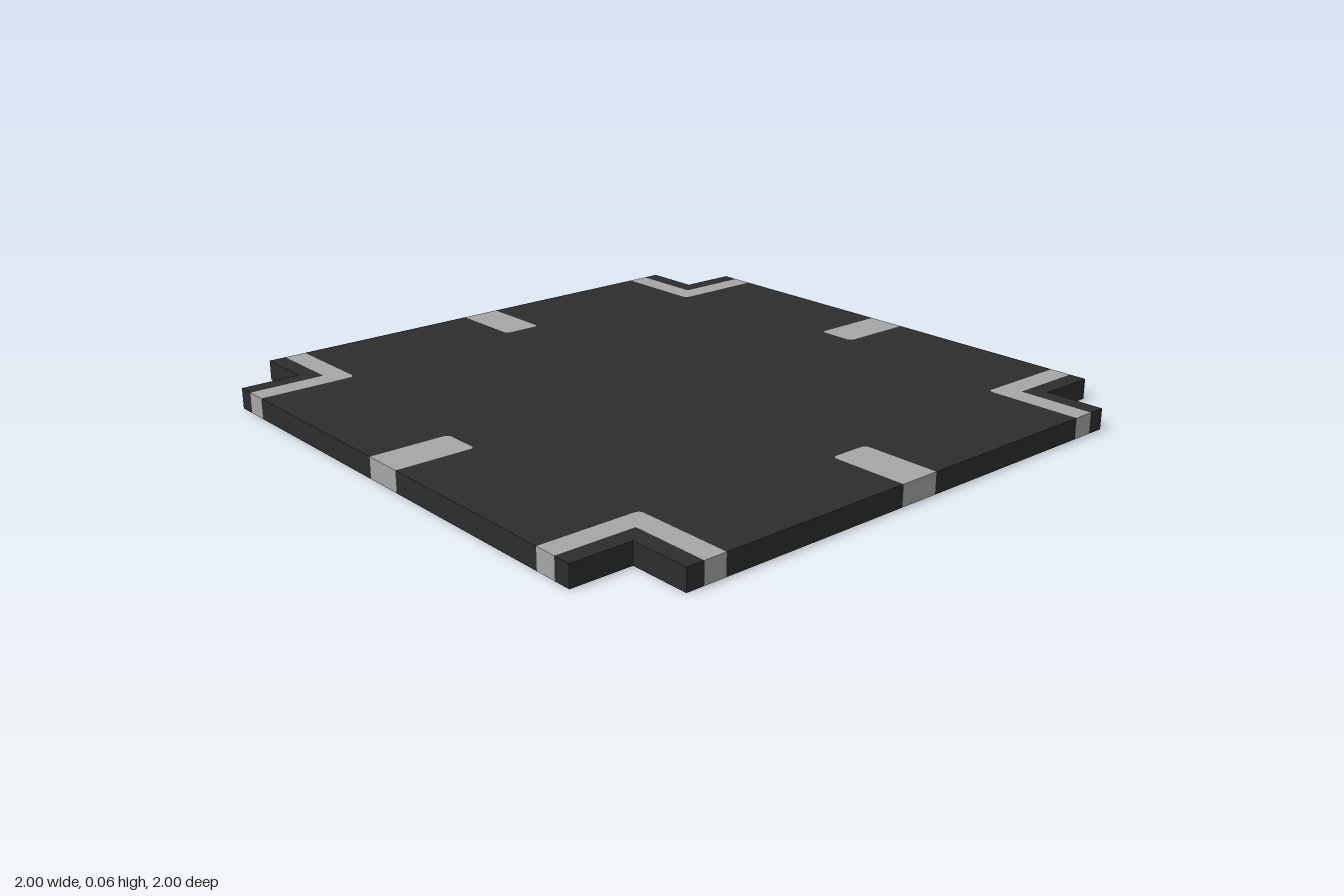
import * as THREE from 'three';

const THICK = 0.065;  // slab thickness
const NOTCH = 0.81;   // corner cut-out
const OUT = 0.755;    // outer edge of the corner bands
const INN = 0.685;    // inner edge of the corner bands
const HALF = 0.065;   // half width of the edge tabs
const TIP = 0.75;     // inner end of the edge tabs
const R = 0.018;      // small corner radius

// Small rounded corner from a to b around the control point c
function fillet(a, c, b) {
  const v = (p) => new THREE.Vector2(...p);
  return new THREE.QuadraticBezierCurve(v(a), v(c), v(b)).getPoints(4).map((p) => [p.x, p.y]);
}

// Flat plate standing on y = 0
function plate(name, points, material) {
  const shape = new THREE.Shape(points.map(([x, y]) => new THREE.Vector2(x, y)));
  const geometry = new THREE.ExtrudeGeometry(shape, { depth: THICK, bevelEnabled: false });
  geometry.rotateX(-Math.PI / 2);
  const mesh = new THREE.Mesh(geometry, material);
  mesh.name = name;
  return mesh;
}

// Quarter turns of a list of points, exact on the grid
function turn(points, times) {
  let result = points;
  for (let i = 0; i < times; i++) result = result.map(([x, y]) => [-y, x]);
  return result;
}

export function createModel() {
  const dark = new THREE.MeshStandardMaterial({ name: 'charcoal', color: 0x2d2d2d });
  const grey = new THREE.MeshStandardMaterial({ name: 'light grey', color: 0xa6a6a6 });
  const group = new THREE.Group();
  group.name = 'floorPanel';

  // Rounded inner outlines shared by the slab and its inlays
  const tabEnd = [
    ...fillet([TIP + R, -HALF], [TIP, -HALF], [TIP, -HALF + R]),
    ...fillet([TIP, HALF - R], [TIP, HALF], [TIP + R, HALF]),
  ];
  const bandCorner = fillet([INN + R, INN], [INN, INN], [INN, INN + R]);

  // One side of the main slab, its tab slot and its corner recess
  const side = [[1, -INN], [1, -HALF], ...tabEnd, [1, HALF], [1, INN], ...bandCorner];
  const tab = [[1, -HALF], [1, HALF], ...[...tabEnd].reverse()];
  const band = [[1, INN], [1, OUT], [OUT, OUT], [OUT, 1], [INN, 1], ...[...bandCorner].reverse()];
  const rim = [[1, OUT], [1, NOTCH], [NOTCH, NOTCH], [NOTCH, 1], [OUT, 1], [OUT, OUT]];

  const outline = [];
  for (let i = 0; i < 4; i++) {
    outline.push(...turn(side, i));
    group.add(
      plate('edgeTab' + (i + 1), turn(tab, i), grey),
      plate('cornerBand' + (i + 1), turn(band, i), grey),
      plate('cornerRim' + (i + 1), turn(rim, i), dark),
    );
  }
  group.add(plate('mainSlab', outline, dark));
  return group;
}
